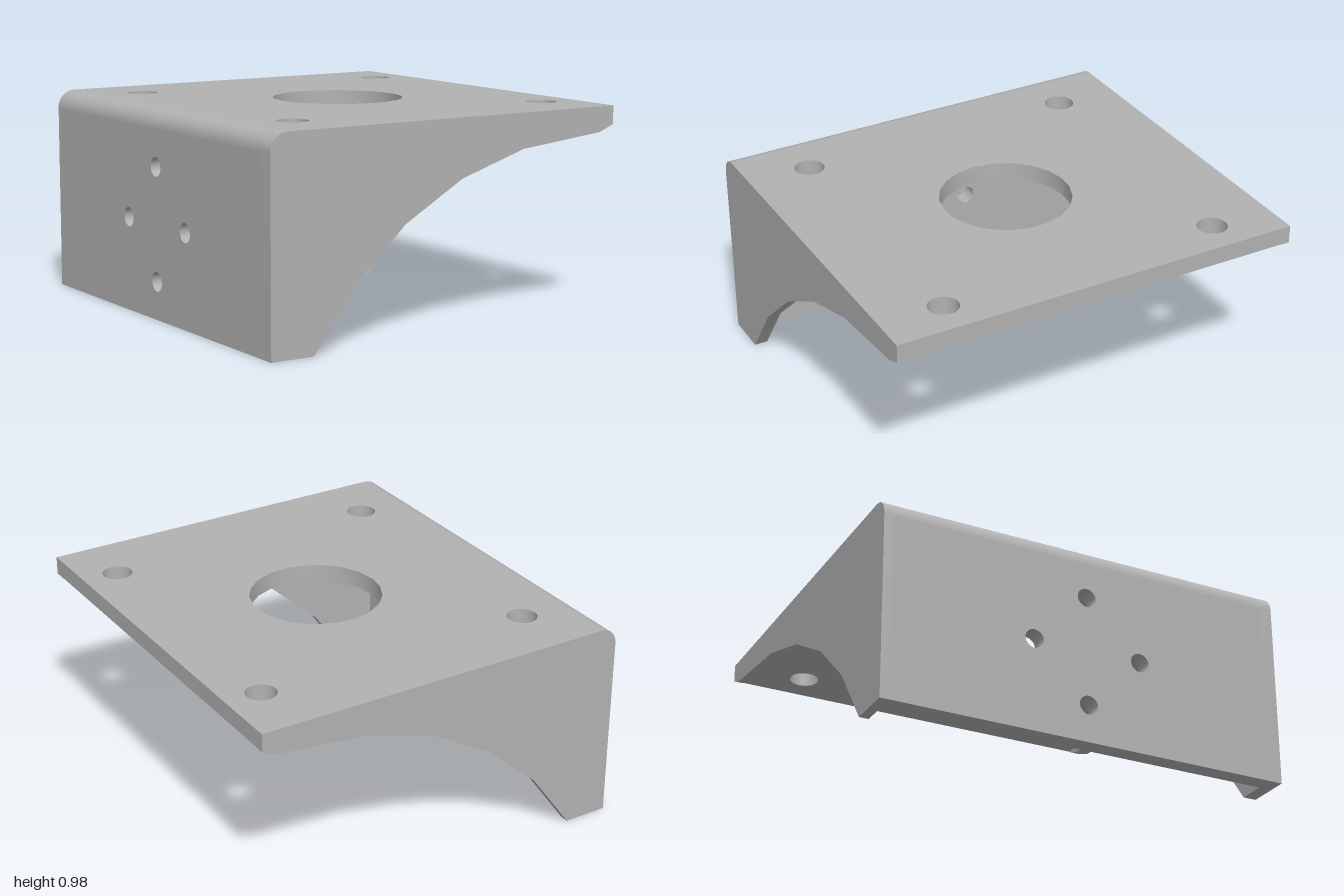
import * as THREE from 'three';
import { toCreasedNormals } from 'three/addons/utils/BufferGeometryUtils.js';

const T = 0.085;            // plate thickness
const H = 0.975;            // overall height
const X = 0.93;             // half width
const Z_FRONT = 0.935;      // inner face of the front gusset
const Z_BACK = -0.955;      // inner face of the back gusset
const XI = -X + T, YI = H - T;

export function createModel() {
  const group = new THREE.Group();
  group.name = 'mountingBracket';
  const metal = new THREE.MeshStandardMaterial({ color: 0xb2b2b2 });
  metal.name = 'grey metal';

  const shapeOf = (pts) => new THREE.Shape(pts.map(([x, y]) => new THREE.Vector2(x, y)));

  // Round hole as a polygon, starting at its -x side
  const hole = (cx, cy, r, n) => {
    const pts = [];
    for (let i = 0; i < n; i++) {
      const a = Math.PI - (i / n) * Math.PI * 2;
      pts.push(new THREE.Vector2(cx + r * Math.cos(a), cy + r * Math.sin(a)));
    }
    return new THREE.Path(pts);
  };

  const extrude = (shape, depth) =>
    new THREE.ExtrudeGeometry(shape, { depth, bevelEnabled: false });

  const add = (name, geometry) => {
    const mesh = new THREE.Mesh(toCreasedNormals(geometry, 0.45), metal);
    mesh.name = name;
    group.add(mesh);
  };

  // Rounded outer bend, from the wall up to the top plate
  const bend = [];
  for (let i = 0; i <= 10; i++) {
    const a = Math.PI - (i / 10) * Math.PI / 2;
    bend.push([XI + T * Math.cos(a), YI + T * Math.sin(a)]);
  }

  // Top plate with a large centre hole and four corner holes
  const top = shapeOf([[XI, -Z_FRONT], [X, -Z_FRONT], [X, -Z_BACK], [XI, -Z_BACK]]);
  top.holes.push(hole(0.0625, 0, 0.3125, 21));
  for (const x of [-0.625, 0.755])
    for (const z of [-0.69, 0.69]) top.holes.push(hole(x, z, 0.072, 24));
  add('topPlate', extrude(top, T).rotateX(-Math.PI / 2).translate(0, YI, 0));

  // Upright wall with four bolt holes in a diamond
  const wall = shapeOf([[Z_BACK, 0], [Z_FRONT, 0], [Z_FRONT, YI], [Z_BACK, YI]]);
  for (const [z, y] of [[0, 0.713], [0, 0.179], [0.267, 0.446], [-0.267, 0.446]])
    wall.holes.push(hole(z, y, 0.046, 24));
  add('uprightWall', extrude(wall, T).rotateY(-Math.PI / 2).translate(XI, 0, 0));

  // Bend joining wall and plate
  add('roundedBend', extrude(shapeOf([[XI, YI], ...bend]), Z_FRONT - Z_BACK).translate(0, 0, Z_BACK));

  // Side gussets with an arched lower edge
  const gusset = shapeOf([
    [-X, 0], ...bend, [X, H], [X, 0.888], [0.85, 0.856], [0.405, 0.81],
    [0.065, 0.703], [-0.24, 0.528], [-0.505, 0.29], [-0.715, 0],
  ]);
  add('frontGusset', extrude(gusset, 1 - Z_FRONT).translate(0, 0, Z_FRONT));
  add('backGusset', extrude(gusset, 1 + Z_BACK).translate(0, 0, -1));

  return group;
}
